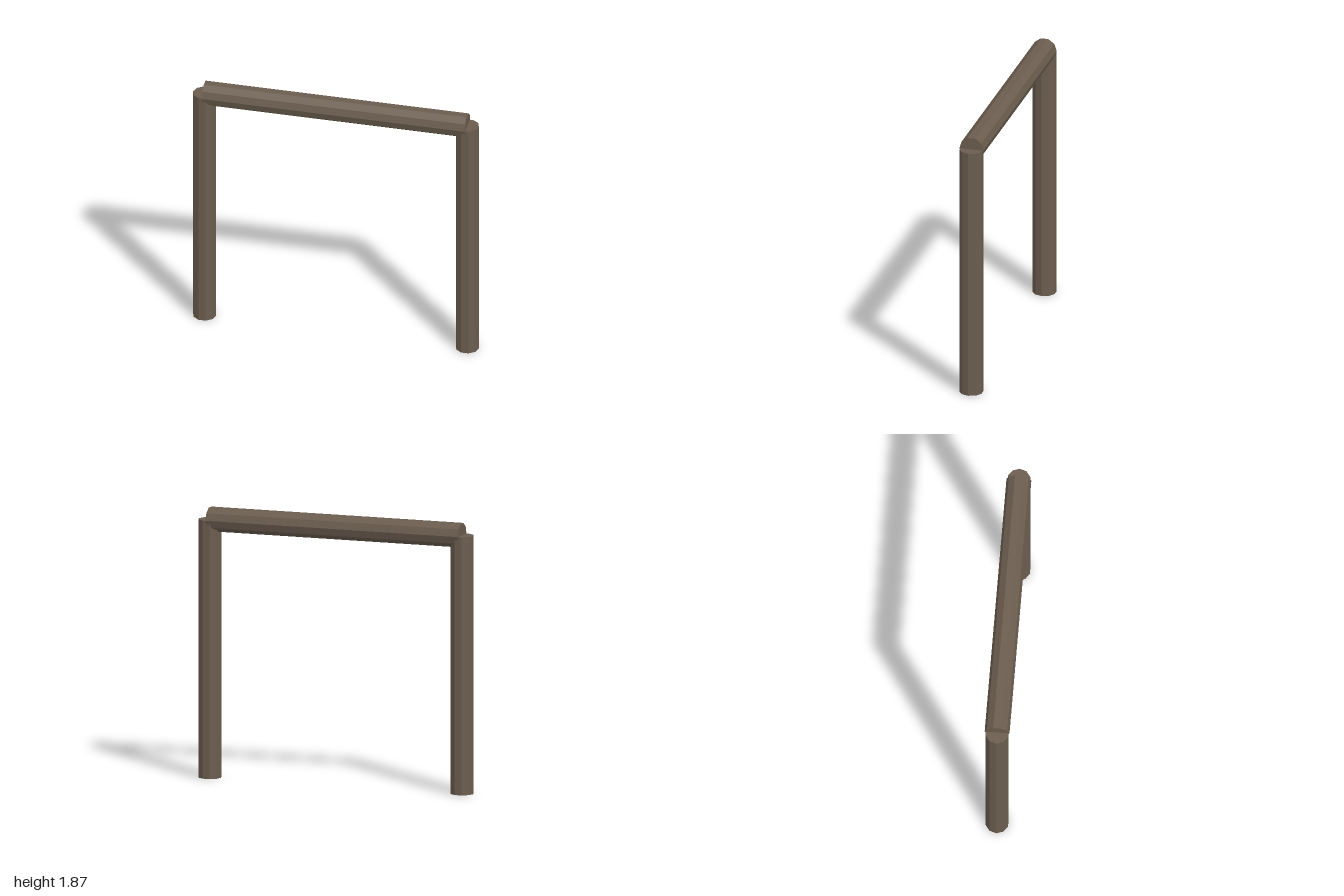
import * as THREE from 'three';

const SIDES = 10;
const POST_X = 0.919, POST_R = 0.081, HEIGHT = 1.785, BEAM_R = 0.085;

export function createModel() {
  const group = new THREE.Group();
  group.name = 'woodenFrame';
  const wood = new THREE.MeshStandardMaterial({ color: 0x6b5d4f, flatShading: true });

  const log = (name, radius, length) => {
    const mesh = new THREE.Mesh(new THREE.CylinderGeometry(radius, radius, length, SIDES), wood);
    mesh.name = name;
    group.add(mesh);
    return mesh;
  };

  // Upright posts, turned so a corner points outward along x
  for (const side of [-1, 1]) {
    const post = log(side > 0 ? 'leftPost' : 'rightPost', POST_R, HEIGHT);
    post.position.set(side * POST_X, HEIGHT / 2, 0);
    post.rotation.y = Math.PI / 2;
  }

  // Crossbeam, centred on the post tops with a flat facet up
  const beam = log('crossbeam', BEAM_R, POST_X * 2);
  beam.position.y = HEIGHT + 0.001;
  beam.rotation.z = Math.PI / 2;

  return group;
}
